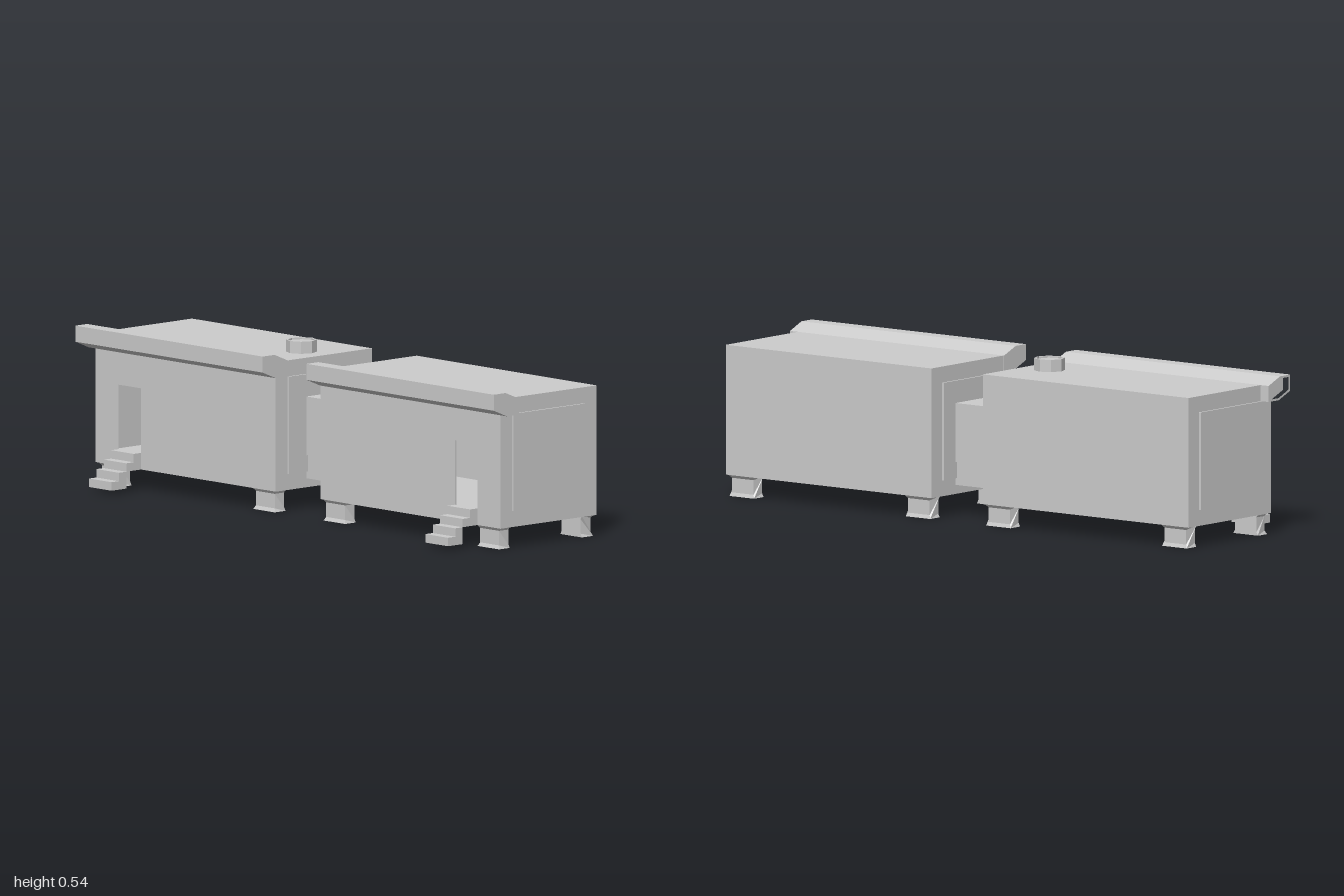
import * as THREE from 'three';

const material = new THREE.MeshStandardMaterial({ color: 0xcccccc, flatShading: true });

function add(parent, name, geometry) {
  const mesh = new THREE.Mesh(geometry, material);
  mesh.name = name;
  parent.add(mesh);
  return mesh;
}

// Box given by its limits on each axis
function box(parent, name, [x0, x1], [y0, y1], [z0, z1]) {
  const mesh = add(parent, name, new THREE.BoxGeometry(Math.abs(x1 - x0), y1 - y0, z1 - z0));
  mesh.position.set((x0 + x1) / 2, (y0 + y1) / 2, (z0 + z1) / 2);
  return mesh;
}

// Side profile of [z, y] points, with an optional hole, extruded along x from xa to xb
function prism(profile, xa, xb, hole) {
  const toVectors = pts => pts.map(([z, y]) => new THREE.Vector2(-z, y));
  const shape = new THREE.Shape(toVectors(profile));
  if (hole) shape.holes.push(new THREE.Path(toVectors(hole)));
  return new THREE.ExtrudeGeometry(shape, { depth: Math.abs(xb - xa), bevelEnabled: false })
    .rotateY(Math.PI / 2)
    .translate(Math.min(xa, xb), 0, 0);
}

const rect = (z0, z1, y0, y1) => [[z0, y0], [z1, y0], [z1, y1], [z0, y1]];

const OUT = 0.967, IN = 0.107;     // ends of a cabin along x
const BOTTOM = 0.07, TOP = 0.498;
const BACK = -0.28, FRONT = 0.15;
const FLOOR = 0.122, WALL = 0.008;
const DOOR = [0.75, 0.858];

// Foot flared at its top and bottom, straight on the inward side
function foot(parent, x, front) {
  const outer = front
    ? [[0.145, 0], [0.139, 0.012], [0.139, 0.06], [0.148, 0.07]]
    : [[-0.275, 0], [-0.27, 0.012], [-0.27, 0.06], [-0.28, 0.07]];
  const inner = front ? 0.097 : -0.225;
  const g = prism([...outer, [inner, 0.07], [inner, 0.06], [inner, 0.012], [inner, 0]], -0.045, 0.045);
  const p = g.attributes.position;
  for (let i = 0; i < p.count; i++) {
    const y = p.getY(i);
    if (y < 0.005 || y > 0.065) p.setX(i, p.getX(i) * 1.14);
  }
  g.computeVertexNormals();
  add(parent, 'foot', g).position.x = x;
}

// One cabin; s = 1 for the left one, -1 for the right one
function cabin(s) {
  const g = new THREE.Group();
  g.name = s > 0 ? 'leftCabin' : 'rightCabin';
  const X = (a, b) => [s * a, s * b];

  // Hollow shell
  box(g, 'floor', X(IN, OUT), [BOTTOM, FLOOR], [BACK, FRONT - WALL]);
  box(g, 'roof', X(IN, OUT), [TOP - WALL, TOP], [BACK, FRONT - WALL]);
  box(g, 'backWall', X(IN, OUT), [FLOOR, TOP - WALL], [BACK, BACK + WALL]);
  box(g, 'outerEndWall', X(0.885, OUT), [FLOOR, TOP - WALL], [BACK + WALL, FRONT - WALL]);
  box(g, 'innerEndWall', X(IN, IN + WALL), [FLOOR, TOP - WALL], [BACK + WALL, FRONT - WALL]);

  // Front wall with the doorway
  const outline = (x0, x1, y0, y1) =>
    [[x0, y0], [x1, y0], [x1, y1], [x0, y1]].map(([x, y]) => new THREE.Vector2(s * x, y));
  const wall = new THREE.Shape(outline(IN, OUT, BOTTOM, TOP));
  wall.holes.push(new THREE.Path(outline(DOOR[0], DOOR[1], FLOOR, 0.338)));
  add(g, 'frontWall', new THREE.ExtrudeGeometry(wall, { depth: WALL, bevelEnabled: false })
    .translate(0, 0, FRONT - WALL));

  // Raised square frames on both ends
  const frame = rect(-0.225, 0.097, 0.123, 0.445);
  const opening = rect(-0.173, 0.043, 0.177, 0.391);
  add(g, 'outerEndFrame', prism(frame, s * OUT, s * (OUT + 0.007), opening));
  add(g, 'innerEndFrame', prism(frame, s * IN, s * (IN - 0.007), opening));

  // Awning along the front roof edge, hollow where it passes the outer end
  const awning = [[0.21, 0.523], [0.157, 0.523], [0.097, 0.498], [0.097, 0.445], [0.15, 0.445], [0.21, 0.47]];
  const hollow = [[0.202, 0.516], [0.158, 0.516], [0.104, 0.493], [0.104, 0.452], [0.149, 0.452], [0.202, 0.475]];
  add(g, 'awning', prism(awning, s * 0.105, s * 0.97));
  add(g, 'awningEnd', prism(awning, s * 0.97, s, hollow));

  // Steps up to the door
  const steps = [[0.15, 0.07], [0.15, 0.125]];
  for (let i = 0; i < 4; i++) {
    const y = 0.125 - i * 0.0277;
    if (i) steps.push([0.15 + i * 0.033, y]);
    steps.push([0.15 + (i + 1) * 0.033, y]);
  }
  steps.push([0.282, 0.014], [0.216, 0.014], [0.216, 0.07]);
  add(g, 'steps', prism(steps, s * DOOR[0], s * DOOR[1]));

  for (const x of [0.904, 0.168]) for (const front of [true, false]) foot(g, s * x, front);
  return g;
}

export function createModel() {
  const model = new THREE.Group();
  model.name = 'twinCabins';
  model.add(cabin(1), cabin(-1));

  // Passage joining the cabins
  box(model, 'passage', [-IN, IN], [0.1, 0.37], [-0.155, 0.013]);

  // Eight-sided roof vent with a shallow rim
  const rim = [[0.051, TOP - 0.004], [0.051, 0.538], [0.044, 0.538], [0.044, 0.532], [0, 0.532]]
    .map(([r, y]) => new THREE.Vector2(r, y));
  add(model, 'roofVent', new THREE.LatheGeometry(rim, 8)).position.set(-0.214, 0, -0.065);
  return model;
}
